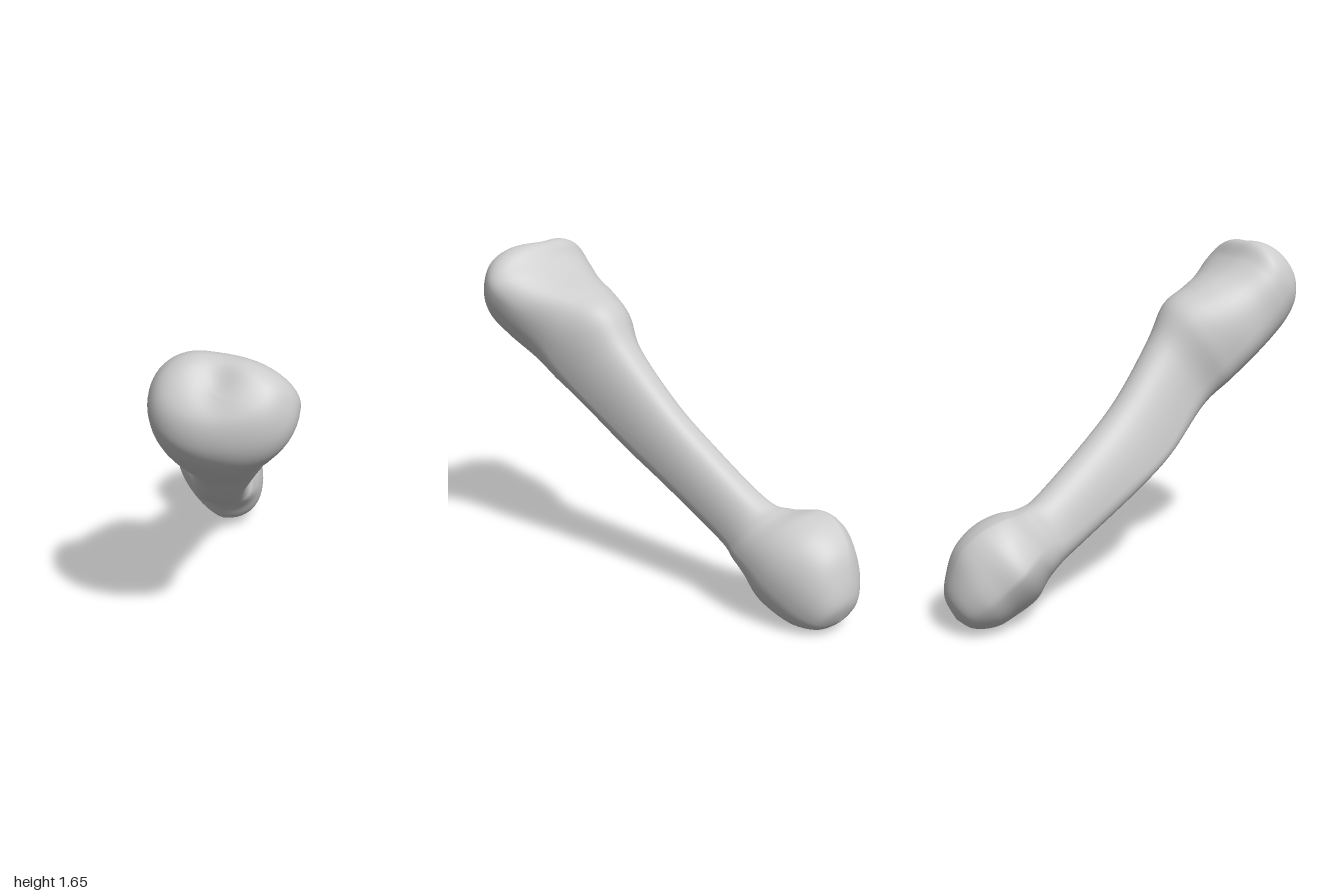
import * as THREE from 'three';

// Stations along the bone: [s along axis, left x, right x, x of upper ridge, x of underside]
const widths = [
  [-1.213, -0.20, -0.20, -0.20, -0.20],
  [-1.185, -0.31, -0.09, -0.20, -0.19],
  [-1.10, -0.39, -0.03, -0.22, -0.18],
  [-1.00, -0.43, 0.005, -0.25, -0.17],
  [-0.88, -0.462, 0.03, -0.28, -0.17],
  [-0.77, -0.41, 0.03, -0.28, -0.16],
  [-0.67, -0.31, 0.018, -0.20, -0.15],
  [-0.55, -0.25, 0.003, -0.13, -0.14],
  [-0.17, -0.19, 0.07, -0.05, -0.11],
  [0.09, -0.145, 0.13, 0.00, -0.06],
  [0.39, -0.098, 0.22, 0.06, 0.02],
  [0.57, -0.145, 0.28, 0.08, 0.07],
  [0.72, -0.17, 0.328, 0.08, 0.11],
  [0.88, -0.17, 0.415, 0.08, 0.13],
  [1.00, -0.168, 0.463, 0.075, 0.13],
  [1.10, -0.145, 0.43, 0.07, 0.12],
  [1.175, -0.06, 0.34, 0.11, 0.12],
  [1.205, 0.14, 0.14, 0.14, 0.14],
];
// Same stations: [bottom, top, height of left flank, height of right flank, left pointedness]
const heights = [
  [-0.05, -0.05, -0.05, -0.05, 0.92],
  [-0.13, 0.06, -0.03, -0.06, 1.0],
  [-0.21, 0.155, -0.01, -0.07, 1.15],
  [-0.25, 0.225, 0.01, -0.07, 1.3],
  [-0.268, 0.243, 0.03, -0.07, 1.4],
  [-0.232, 0.21, 0.02, -0.08, 1.3],
  [-0.22, 0.127, -0.04, -0.11, 1.05],
  [-0.225, 0.09, -0.11, -0.12, 0.92],
  [-0.246, 0.10, -0.16, -0.13, 0.88],
  [-0.25, 0.132, -0.18, -0.13, 0.88],
  [-0.213, 0.213, -0.10, -0.10, 0.88],
  [-0.213, 0.287, -0.06, -0.06, 0.92],
  [-0.213, 0.272, -0.03, 0.00, 0.92],
  [-0.21, 0.24, 0.00, 0.05, 0.92],
  [-0.195, 0.24, 0.04, 0.08, 0.92],
  [-0.145, 0.262, 0.06, 0.09, 0.92],
  [-0.05, 0.20, 0.07, 0.08, 0.92],
  [0.07, 0.07, 0.07, 0.07, 0.92],
];

// Smooth interpolation of a row between stations
function sample(table, t) {
  const last = table.length - 1;
  const i = Math.min(Math.floor(t), last - 1), f = t - i;
  const row = (k) => table[THREE.MathUtils.clamp(k, 0, last)];
  const [a, b, c, d] = [row(i - 1), row(i), row(i + 1), row(i + 2)];
  return b.map((_, k) => b[k] + 0.5 * f * (c[k] - a[k]
    + f * (2 * a[k] - 5 * b[k] + 4 * c[k] - d[k]
    + f * (3 * (b[k] - c[k]) + d[k] - a[k]))));
}

// Loft of skewed ovals along an axis that leans 35 degrees up towards the front
function boneGeometry(rings = 136, sides = 56) {
  const sin = 0.574, cos = 0.819, pos = [], index = [];
  for (let i = 0; i <= rings; i++) {
    const t = (i / rings) * (widths.length - 1);
    const [s, xl, xr, xt, xb] = sample(widths, t);
    const [nb, nt, nl, nr, pointed] = sample(heights, t);
    for (let j = 0; j < sides; j++) {
      const a = (j / sides) * Math.PI * 2;
      const c = Math.cos(a), h = Math.sin(a);
      // each quadrant joins a flank to the ridge or the underside
      const flankX = c >= 0 ? xr : xl, flankN = c >= 0 ? nr : nl;
      const endX = h >= 0 ? xt : xb, endN = h >= 0 ? nt : nb;
      const power = c >= 0 ? 0.92 : pointed;
      const x = endX + (flankX - endX) * Math.pow(Math.abs(c), power);
      const n = flankN + (endN - flankN) * Math.pow(Math.abs(h), power);
      // shallow hollow between the two knuckles of the upper end
      const fade = THREE.MathUtils.smoothstep(s, 0.85, 1.15);
      const dent = 0.04 * fade * Math.exp(-(((x - 0.13) / 0.09) ** 2) - ((n - 0.13) / 0.12) ** 2);
      const d = s - dent;
      pos.push(x, 0.8 + sin * d + cos * n, cos * d - sin * n);
    }
  }
  for (let i = 0; i < rings; i++) {
    for (let j = 0; j < sides; j++) {
      const a = i * sides + j, b = i * sides + (j + 1) % sides;
      index.push(a, b, a + sides, b, b + sides, a + sides);
    }
  }
  const geometry = new THREE.BufferGeometry();
  geometry.setAttribute('position', new THREE.Float32BufferAttribute(pos, 3));
  geometry.setIndex(index);
  geometry.computeVertexNormals();
  return geometry;
}

export function createModel() {
  const group = new THREE.Group();
  group.name = 'legBone';
  const material = new THREE.MeshStandardMaterial({ color: 0xcccccc });
  material.name = 'bone grey';
  const bone = new THREE.Mesh(boneGeometry(), material);
  bone.name = 'bone';
  group.add(bone);
  return group;
}
